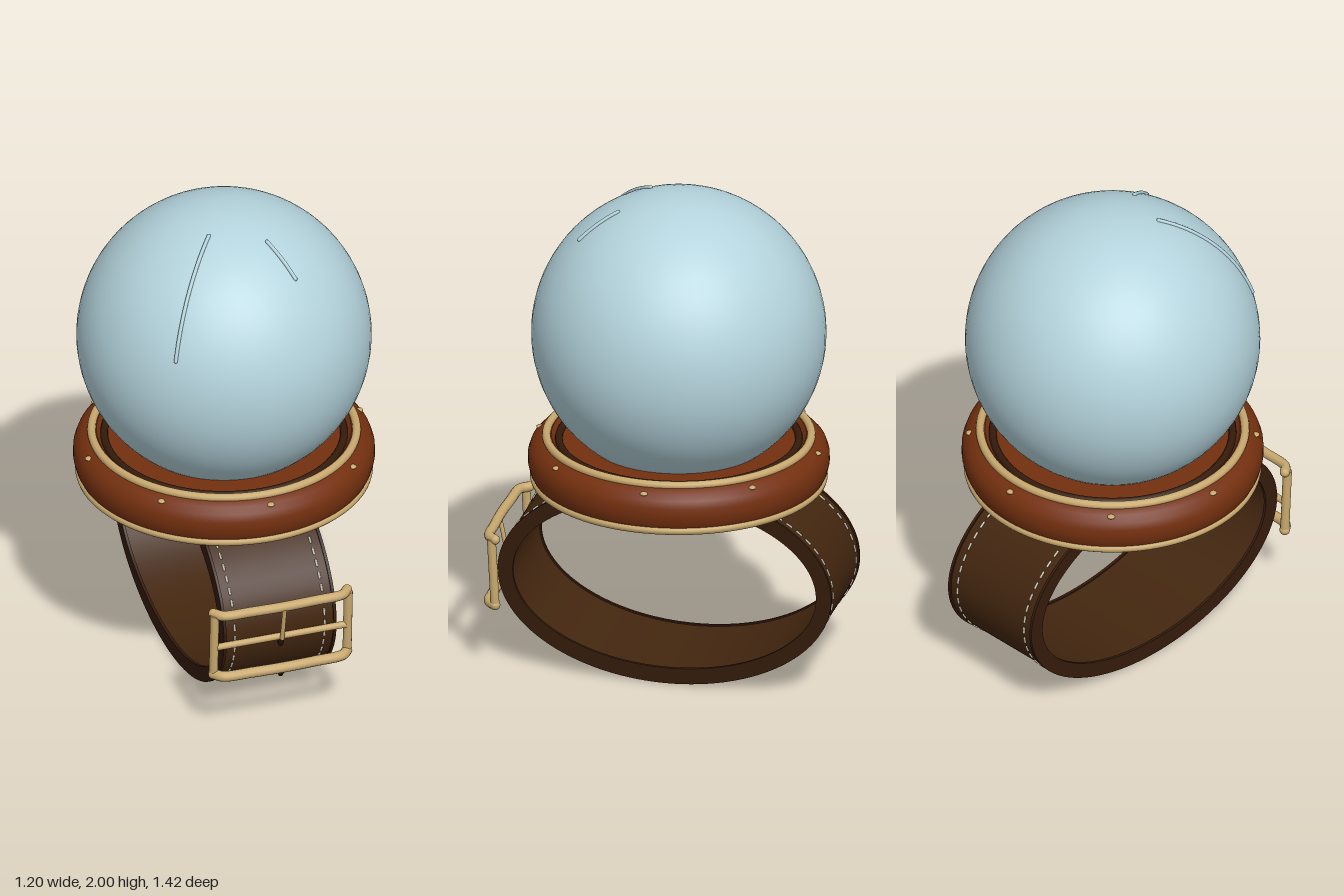
import * as THREE from 'three';
import { toCreasedNormals } from 'three/addons/utils/BufferGeometryUtils.js';

const mat = (name, color, side = THREE.FrontSide) => {
  const m = new THREE.MeshStandardMaterial({ color, side });
  m.name = name;
  return m;
};

export function createModel() {
  const glass = mat('pale blue glass', 0xb4d3dc);
  const leather = mat('russet leather', 0x74300f, THREE.DoubleSide);
  const strapBrown = mat('dark strap leather', 0x43260f);
  const edgeBrown = mat('strap edge', 0x341b0b);
  const brass = mat('brass', 0xc8a86e);
  const thread = mat('thread', 0xc8bfae);
  const dark = mat('hole', 0x1c0f08);

  const CZ = -0.035;
  const model = new THREE.Group();
  model.name = 'globeOnStrap';
  const add = (name, geo, material, x = 0, y = 0, z = 0, parent = model) => {
    const m = new THREE.Mesh(geo, material);
    m.name = name;
    m.position.set(x, y, z);
    parent.add(m);
    return m;
  };
  const v = (x, y, z) => new THREE.Vector3(x, y, z);

  // Globe with two raised glints, each an arc along the sphere
  const centre = v(0, 1.415, CZ);
  add('globe', new THREE.SphereGeometry(0.585, 64, 48), glass, ...centre);
  const glint = (a, b) => {
    const pts = [];
    for (let i = 0; i <= 12; i++) {
      pts.push(a.clone().lerp(b, i / 12).normalize().multiplyScalar(0.587).add(centre));
    }
    add('glint', new THREE.TubeGeometry(new THREE.CatmullRomCurve3(pts), 32, 0.008, 8), glass);
    for (const p of [pts[0], pts[12]]) add('glintEnd', new THREE.SphereGeometry(0.008, 8, 6), glass, ...p);
  };
  glint(v(-0.355, 0.19, 0.435), v(-0.115, 0.565, 0.145));
  glint(v(0.105, 0.54, 0.225), v(0.175, 0.43, 0.365));

  // Round base: rounded leather wall with a recessed floor
  const profile = [
    [0, 0.765], [0.49, 0.765], [0.55, 0.775], [0.575, 0.8], [0.59, 0.83], [0.598, 0.865],
    [0.597, 0.9], [0.587, 0.93], [0.565, 0.953], [0.535, 0.97], [0.505, 0.975], [0.49, 0.955], [0, 0.955],
  ].map(([r, y]) => new THREE.Vector2(r, y));
  add('base', toCreasedNormals(new THREE.LatheGeometry(profile, 96), 0.6), leather, 0, 0, CZ);
  const ring = (name, r, tube, y, material) => {
    add(name, new THREE.TorusGeometry(r, tube, 12, 96), material, 0, y, CZ).rotation.x = Math.PI / 2;
  };
  ring('topTrim', 0.525, 0.017, 0.974, brass);
  ring('bottomTrim', 0.573, 0.017, 0.8, brass);
  ring('innerGroove', 0.475, 0.015, 0.957, edgeBrown);

  // Eight small studs on the shoulder of the base
  for (let i = 0; i < 8; i++) {
    const a = (i * Math.PI) / 4;
    const stud = add('stud', new THREE.SphereGeometry(0.016, 12, 8), brass,
      Math.sin(a) * 0.566, 0.949, CZ + Math.cos(a) * 0.566);
    stud.scale.set(1, 0.5, 1);
  }

  // Oval strap with slightly raised edges
  const strap = new THREE.Group();
  strap.name = 'strap';
  strap.position.set(0, 0.425, CZ);
  model.add(strap);
  const hoop = (name, grow, width, x, material) => {
    const s = new THREE.Shape().absellipse(0, 0, 0.675 + grow, 0.418 + grow, 0, Math.PI * 2);
    s.holes.push(new THREE.Path().absellipse(0, 0, 0.625 - grow, 0.364 - grow, 0, Math.PI * 2, true));
    const g = new THREE.ExtrudeGeometry(s, { depth: width, bevelEnabled: false, curveSegments: 96 });
    g.translate(0, 0, -width / 2).rotateY(Math.PI / 2);
    add(name, toCreasedNormals(g, 0.6), material, x, 0, 0, strap);
  };
  hoop('strapBand', 0, 0.46, 0, strapBrown);
  for (const side of [-1, 1]) hoop('strapEdge', 0.006, 0.012, side * 0.23, edgeBrown);

  // Stitching on the outside, evenly spaced, leaving out the part inside the base
  const stitchGeo = new THREE.CapsuleGeometry(0.005, 0.022, 3, 6);
  const oval = new THREE.EllipseCurve(0, 0, 0.676, 0.419);
  const count = 70;
  for (let i = 0; i < count; i++) {
    const p = oval.getPointAt(i / count);
    if (p.y > 0.35) continue;
    const t = oval.getTangentAt(i / count);
    for (const x of [-0.188, 0.188]) {
      add('stitch', stitchGeo, thread, x, p.y, p.x, strap).rotation.x = Math.atan2(t.x, t.y);
    }
  }

  // Buckle frame: bowed top and bottom bars, side bars, middle bar and prong
  const buckle = new THREE.Group();
  buckle.name = 'buckle';
  model.add(buckle);
  const rod = (name, a, b, r) => {
    const m = add(name, new THREE.CylinderGeometry(r, r, a.distanceTo(b), 14), brass,
      ...a.clone().lerp(b, 0.5), buckle);
    m.quaternion.setFromUnitVectors(v(0, 1, 0), b.clone().sub(a).normalize());
  };
  const bowed = (name, y, r) => {
    const pts = [[-0.28, 0.645], [-0.25, 0.676], [-0.13, 0.684], [0, 0.688], [0.13, 0.684], [0.25, 0.676], [0.28, 0.645]]
      .map(([x, z]) => v(x, y, z));
    add(name, new THREE.TubeGeometry(new THREE.CatmullRomCurve3(pts), 48, r, 12), brass, 0, 0, 0, buckle);
    for (const p of [pts[0], pts[6]]) add('corner', new THREE.SphereGeometry(r, 14, 10), brass, ...p, buckle);
  };
  bowed('topBar', 0.565, 0.02);
  bowed('bottomBar', 0.285, 0.021);
  for (const x of [-0.28, 0.28]) rod('sideBar', v(x, 0.285, 0.645), v(x, 0.565, 0.66), 0.018);
  rod('middleBar', v(-0.27, 0.412, 0.655), v(0.27, 0.412, 0.655), 0.014);
  rod('prong', v(0, 0.405, 0.668), v(0, 0.56, 0.7), 0.009);

  // Dark prong holes
  for (const y of [0.385, 0.245]) {
    add('strapHole', new THREE.SphereGeometry(0.015, 12, 8), dark, 0, y, 0.652).scale.set(0.9, 1.5, 0.4);
  }
  return model;
}
